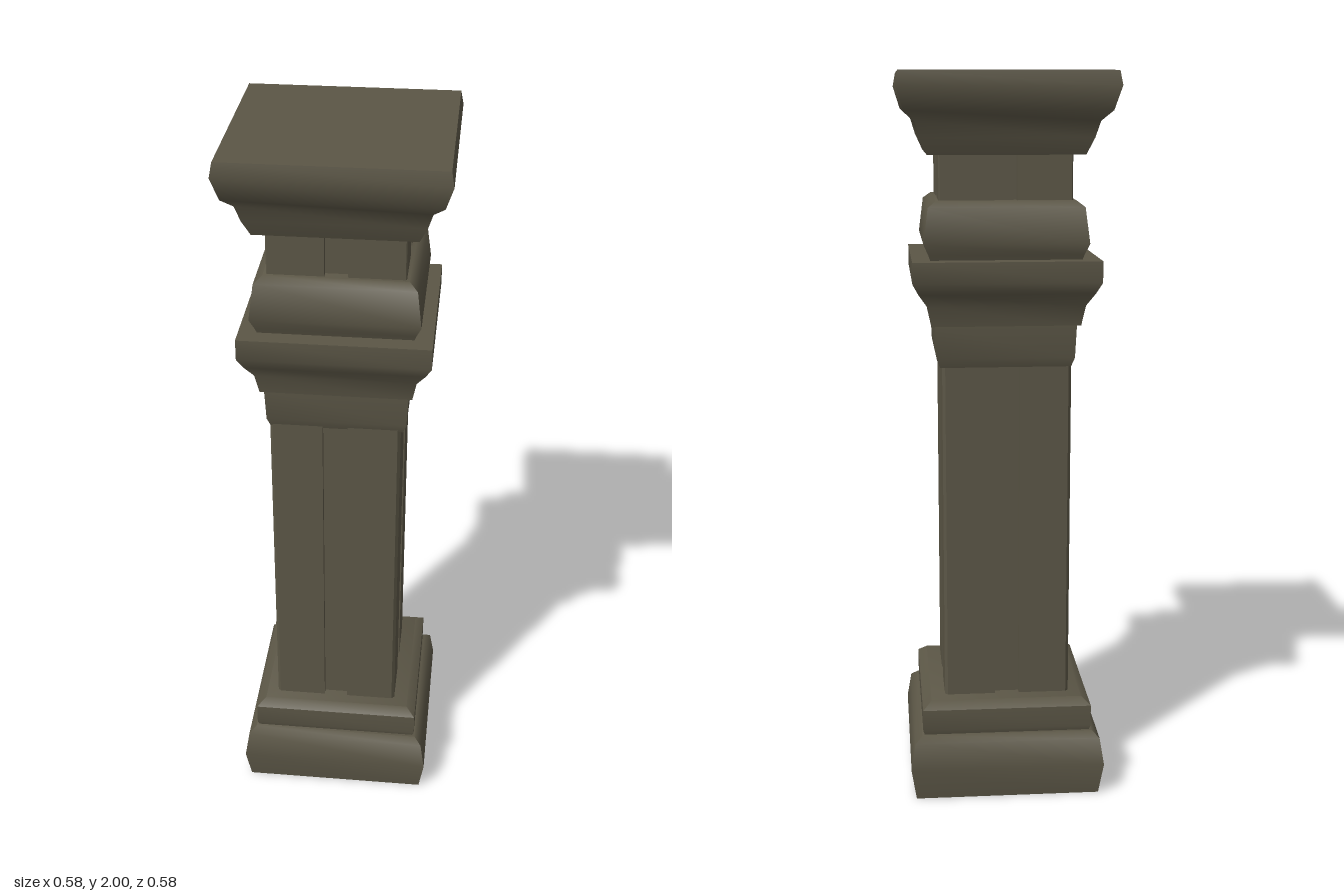
import * as THREE from 'three';
import { toCreasedNormals } from 'three/addons/utils/BufferGeometryUtils.js';

const stone = new THREE.MeshStandardMaterial({ color: 0x5b5646 });
stone.name = 'darkStone';

// Square moulding: profile points are [half width, height], from bottom to top.
function moulding(name, profile) {
  const points = [[0, profile[0][1]], ...profile, [0, profile[profile.length - 1][1]]]
    .map(([half, y]) => new THREE.Vector2(half * Math.SQRT2, y));
  const square = new THREE.LatheGeometry(points, 4, Math.PI / 4);
  const mesh = new THREE.Mesh(toCreasedNormals(square, 0.85), stone);
  mesh.name = name;
  return mesh;
}

// Square pier with chamfered corners and a sunk channel down each face.
function channelledPier(name, half, channel, depth, chamfer, bottom, top) {
  const side = [
    [half, -half + chamfer], [half, -channel], [half - depth, -channel],
    [half - depth, channel], [half, channel], [half, half - chamfer],
  ];
  const outline = [];
  for (let i = 0; i < 4; i++) {
    const turn = i * Math.PI / 2;
    for (const [x, y] of side) {
      outline.push(new THREE.Vector2(x, y).rotateAround(new THREE.Vector2(), turn));
    }
  }
  const geometry = new THREE.ExtrudeGeometry(new THREE.Shape(outline), {
    depth: top - bottom, bevelEnabled: false,
  });
  geometry.rotateX(-Math.PI / 2);
  geometry.translate(0, bottom, 0);
  const mesh = new THREE.Mesh(geometry, stone);
  mesh.name = name;
  return mesh;
}

export function createModel() {
  const column = new THREE.Group();
  column.name = 'column';

  // Base
  column.add(moulding('plinth', [
    [0.258, 0], [0.272, 0.09], [0.26, 0.165], [0.24, 0.182]]));
  column.add(moulding('baseStep', [
    [0.232, 0.18], [0.237, 0.195], [0.237, 0.255], [0.212, 0.275]]));

  // Shaft
  const shaft = channelledPier('shaft', 0.176, 0.034, 0.018, 0.008, 0.27, 1.23);
  shaft.position.set(-0.004, 0, 0.004);
  column.add(shaft);

  // Lower capital
  column.add(moulding('collar', [
    [0.178, 1.22], [0.187, 1.245], [0.191, 1.335]]));
  column.add(moulding('lowerCornice', [
    [0.201, 1.335], [0.212, 1.39], [0.235, 1.425], [0.251, 1.455], [0.251, 1.512]]));
  column.add(moulding('cushion', [
    [0.2, 1.505], [0.207, 1.525], [0.22, 1.555], [0.208, 1.65], [0.186, 1.667]]));

  // Upper neck and crown
  column.add(channelledPier('neck', 0.178, 0.03, 0.02, 0.003, 1.66, 1.79));
  column.add(moulding('crown', [
    [0.208, 1.786], [0.228, 1.83], [0.241, 1.873], [0.27, 1.9], [0.289, 1.962], [0.282, 2]]));

  return column;
}
